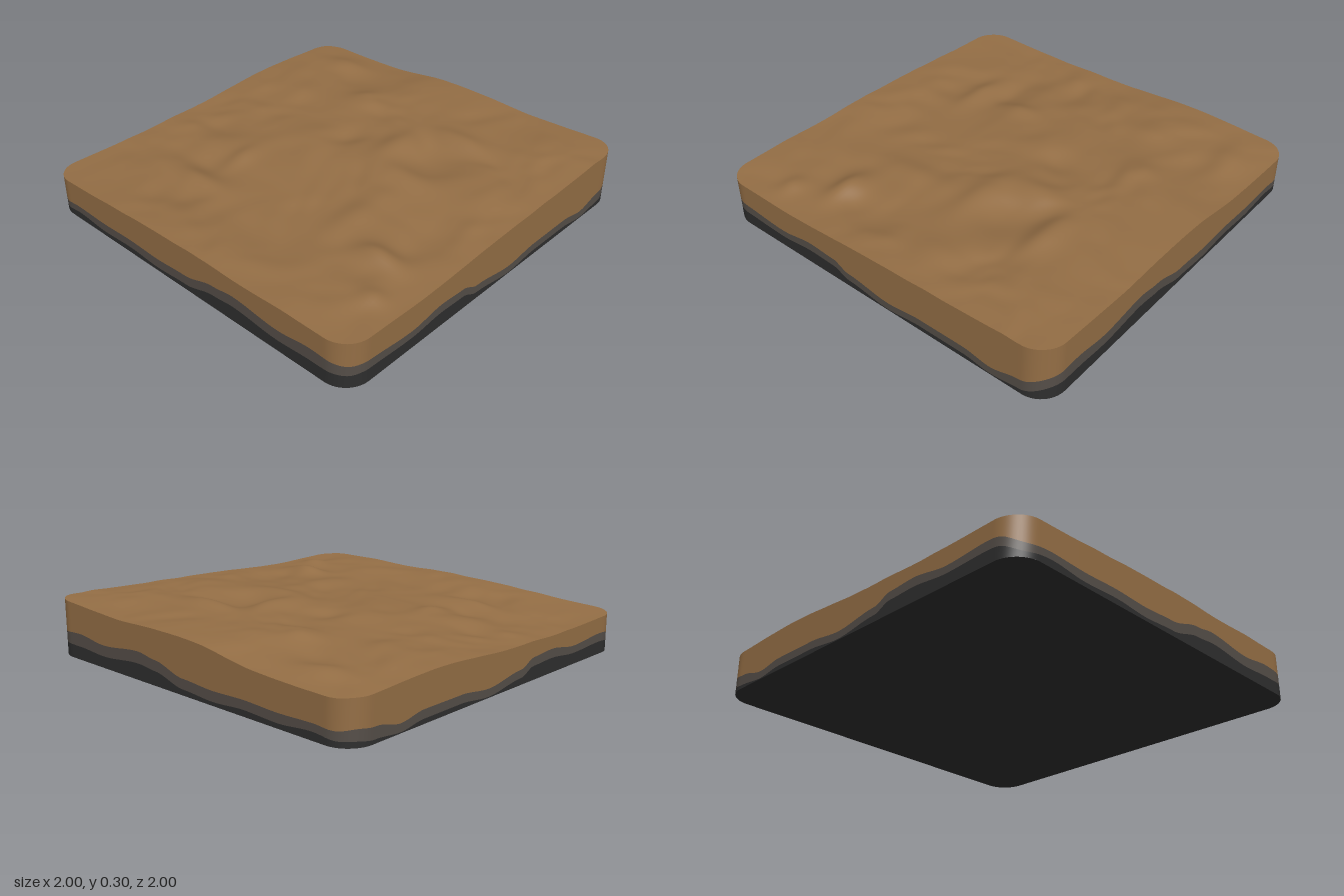
import * as THREE from 'three';

const N = 110;          // cells per side
const R = 0.13;         // corner radius in plan
const BASE = 0.012;     // underside level at the rim

// Broad ground levels: rows z = -1..1, columns x = -1..1
const LEVELS = [
  [0.205, 0.195, 0.205, 0.23, 0.21],
  [0.225, 0.22, 0.235, 0.245, 0.225],
  [0.245, 0.235, 0.255, 0.27, 0.28],
  [0.245, 0.245, 0.262, 0.275, 0.275],
  [0.25, 0.24, 0.265, 0.28, 0.3],
];

// Local hills (+) and hollows (-): x, z, radius x, radius z, height
const BUMPS = [
  [-0.46, 0.7, 0.07, 0.12, 0.045], [-0.2, 0.74, 0.16, 0.13, -0.02],
  [0.28, 0.4, 0.15, 0.15, -0.035], [0.08, 0.36, 0.08, 0.18, 0.022],
  [0.28, 0.17, 0.2, 0.09, 0.028], [0.52, 0.4, 0.07, 0.2, 0.026],
  [0.2, -0.1, 0.14, 0.08, -0.015], [-0.56, -0.4, 0.06, 0.16, 0.022],
  [-0.44, -0.5, 0.06, 0.2, -0.015], [-0.28, -0.38, 0.14, 0.06, 0.018],
  [-0.15, -0.75, 0.06, 0.18, -0.012], [-0.28, -0.7, 0.07, 0.2, 0.014],
  [0.52, -0.3, 0.12, 0.12, 0.02], [0.7, -0.55, 0.08, 0.15, -0.012],
  [0.82, -0.7, 0.1, 0.12, 0.02], [-0.3, 0.4, 0.2, 0.08, 0.015],
  [-0.7, 0.2, 0.14, 0.25, -0.012], [-0.68, 0.85, 0.06, 0.08, 0.022],
  [0.2, 0.8, 0.12, 0.1, 0.014], [0.8, 0.75, 0.15, 0.12, 0.014],
  [-0.7, -0.3, 0.1, 0.1, -0.014],
];

// Stratum tops along the sides: position, dark top, grey top
const FRONT = [[-1, 0.055, 0.105], [-0.9, 0.08, 0.125], [-0.6, 0.068, 0.105], [-0.4, 0.085, 0.13],
  [-0.25, 0.08, 0.122], [-0.15, 0.045, 0.085], [0.1, 0.017, 0.055], [0.3, 0.035, 0.075],
  [0.55, 0.035, 0.076], [0.7, 0.017, 0.055], [0.85, 0.03, 0.085], [1, 0.055, 0.115]];
const SIDE = [[-1, 0.025, 0.06], [-0.8, 0.05, 0.085], [-0.6, 0.035, 0.08], [-0.4, 0.042, 0.086],
  [-0.2, 0.03, 0.08], [0, 0.04, 0.09], [0.2, 0.082, 0.135], [0.32, 0.092, 0.15],
  [0.6, 0.07, 0.125], [0.8, 0.08, 0.145], [1, 0.09, 0.14]];

const lerp = THREE.MathUtils.lerp;
const ease = (t) => t * t * (3 - 2 * t);

function hash(i, j) {
  const s = Math.sin(i * 127.1 + j * 311.7) * 43758.5453;
  return s - Math.floor(s);
}

function noise(x, z) {
  const i = Math.floor(x), j = Math.floor(z), u = ease(x - i), v = ease(z - j);
  return lerp(lerp(hash(i, j), hash(i + 1, j), u), lerp(hash(i, j + 1), hash(i + 1, j + 1), u), v) - 0.5;
}

// Catmull-Rom through five evenly spaced values over -1..1
function smoothRow(v, p) {
  const s = Math.min(Math.max((p + 1) * 2, 0), 3.9999), i = Math.floor(s), t = s - i;
  const a = v[Math.max(i - 1, 0)], b = v[i], c = v[i + 1], d = v[Math.min(i + 2, 4)];
  return b + 0.5 * t * (c - a + t * (2 * a - 5 * b + 4 * c - d + t * (3 * (b - c) + d - a)));
}

function groundHeight(x, z) {
  let y = smoothRow(LEVELS.map((row) => smoothRow(row, x)), z);
  const inner = 0.35 + 0.65 * Math.min(1, (1 - Math.max(Math.abs(x), Math.abs(z))) / 0.15);
  let detail = 0;
  for (const [bx, bz, rx, rz, h] of BUMPS) {
    detail += h * Math.exp(-(((x - bx) / rx) ** 2) - ((z - bz) / rz) ** 2);
  }
  // Warped noise gives wandering, eroded ridges
  const wx = x + 0.2 * noise(x * 3 + 9, z * 3), wz = z + 0.2 * noise(x * 3, z * 3 + 17);
  detail += 0.022 * noise(wx * 4.5 + 30, wz * 4.5) + 0.012 * noise(wx * 9, wz * 9 + 50);
  return y + detail * inner;
}

function strataTop(x, z, k) {
  const read = (profile, p) => {
    let i = 0;
    while (i < profile.length - 2 && p > profile[i + 1][0]) i++;
    const a = profile[i], b = profile[i + 1];
    return lerp(a[k], b[k], ease(THREE.MathUtils.clamp((p - a[0]) / (b[0] - a[0]), 0, 1)));
  };
  const fx = x ** 16, fz = z ** 16;
  return (read(FRONT, x) * fz + read(SIDE, z) * fx) / (fx + fz);
}

// Square grid position bent to a rounded-corner outline
function planPoint(i, j) {
  const x = (i / N) * 2 - 1, z = (j / N) * 2 - 1;
  const a = (Math.abs(x) - 1 + R) / R, b = (Math.abs(z) - 1 + R) / R;
  if (a <= 0 || b <= 0) return [x, z];
  return [Math.sign(x) * (1 - R + R * a * Math.sqrt(1 - b * b / 2)),
    Math.sign(z) * (1 - R + R * b * Math.sqrt(1 - a * a / 2))];
}

function makeGeometry(positions, index) {
  const g = new THREE.BufferGeometry();
  g.setAttribute('position', new THREE.Float32BufferAttribute(positions, 3));
  g.setIndex(index);
  g.computeVertexNormals();
  return g;
}

// Horizontal sheet, facing up or down
function sheet(heightAt, up) {
  const pos = [], idx = [];
  for (let j = 0; j <= N; j++) {
    for (let i = 0; i <= N; i++) {
      const [x, z] = planPoint(i, j);
      pos.push(x, heightAt(x, z), z);
      if (i === N || j === N) continue;
      const a = j * (N + 1) + i, b = a + 1, c = a + N + 1, d = c + 1;
      if (up) idx.push(a, c, b, b, c, d);
      else idx.push(a, b, c, b, d, c);
    }
  }
  return makeGeometry(pos, idx);
}

// Closed wall around the outline between two height rules
function wall(low, high) {
  const outline = [];
  for (let k = 0; k < N; k++) outline.push(planPoint(k, N));
  for (let k = 0; k < N; k++) outline.push(planPoint(N, N - k));
  for (let k = 0; k < N; k++) outline.push(planPoint(N - k, 0));
  for (let k = 0; k < N; k++) outline.push(planPoint(0, k));
  const pos = [], idx = [], n = outline.length;
  outline.forEach(([x, z], k) => {
    pos.push(x, low(x, z), z, x, high(x, z), z);
    const a = 2 * k, b = 2 * ((k + 1) % n);
    idx.push(a, b, b + 1, a, b + 1, a + 1);
  });
  return makeGeometry(pos, idx);
}

export function createModel() {
  const group = new THREE.Group();
  group.name = 'terrainSlab';
  const material = (name, color) => {
    const m = new THREE.MeshStandardMaterial({ color });
    m.name = name;
    return m;
  };
  const soil = material('brownSoil', 0x946e45);
  const clay = material('greyClay', 0x554e48);
  const rock = material('darkRock', 0x2e2e2e);
  const add = (name, geometry, mat) => {
    const mesh = new THREE.Mesh(geometry, mat);
    mesh.name = name;
    group.add(mesh);
  };

  const base = () => BASE;
  const dark = (x, z) => strataTop(x, z, 1);
  const grey = (x, z) => strataTop(x, z, 2);
  // Underside sags slightly towards the middle
  const underside = (x, z) => BASE * (1 - Math.min(1, 2 * (1 - x * x) * (1 - z * z)));

  add('groundSurface', sheet(groundHeight, true), soil);
  add('soilLayer', wall(grey, groundHeight), soil);
  add('clayLayer', wall(dark, grey), clay);
  add('rockLayer', wall(base, dark), rock);
  add('underside', sheet(underside, false), rock);
  return group;
}
